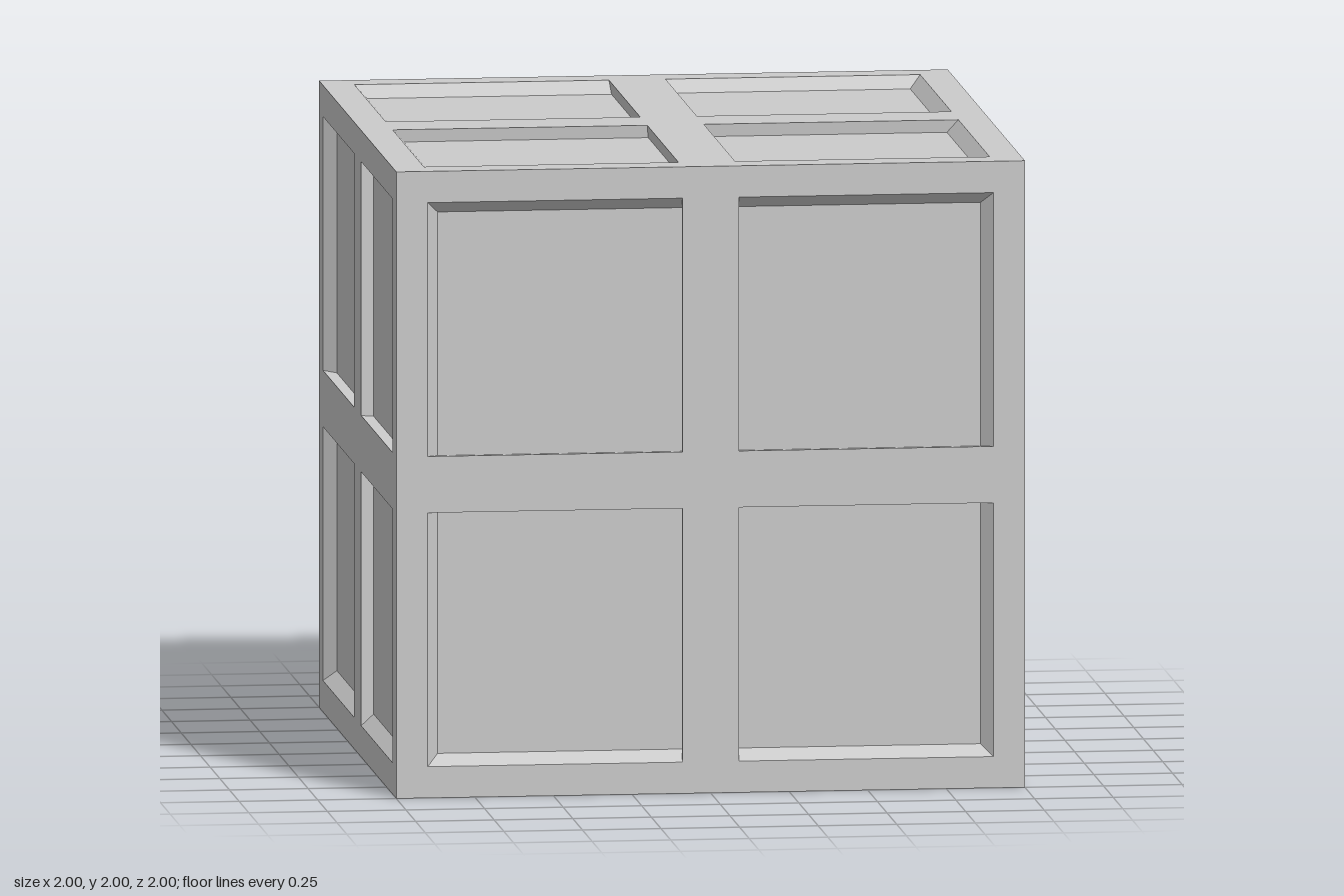
import * as THREE from 'three';

const HALF = 1;        // half the cube's side
const OUTER = 0.9;     // recess edge near the cube's edge
const INNER = 0.09;    // recess edge beside the central cross
const TAPER = 0.96;    // recess floors shrink toward the cube's centre

// Corners of the four square recesses on one face, counter-clockwise
function recessCorners() {
  const list = [];
  for (const [x0, x1] of [[-OUTER, -INNER], [INNER, OUTER]]) {
    for (const [y0, y1] of [[-OUTER, -INNER], [INNER, OUTER]]) {
      list.push([[x0, y0], [x1, y0], [x1, y1], [x0, y1]]);
    }
  }
  return list;
}

// Flat face with four square openings
function frameGeometry() {
  const rect = (c) => c.map(([x, y]) => new THREE.Vector2(x, y));
  const shape = new THREE.Shape(rect([[-HALF, -HALF], [HALF, -HALF], [HALF, HALF], [-HALF, HALF]]));
  for (const corners of recessCorners()) {
    shape.holes.push(new THREE.Path(rect(corners).reverse()));
  }
  return new THREE.ShapeGeometry(shape).translate(0, 0, HALF);
}

// Four slanted walls and a floor
function recessGeometry(corners) {
  const rim = corners.map(([x, y]) => [x, y, HALF]);
  const floor = rim.map((p) => p.map((v) => v * TAPER));
  const positions = [];
  const quad = (a, b, c, d) => positions.push(...a, ...b, ...c, ...a, ...c, ...d);
  quad(...floor);
  for (let i = 0; i < 4; i++) {
    const j = (i + 1) % 4;
    quad(rim[i], rim[j], floor[j], floor[i]);
  }
  const geometry = new THREE.BufferGeometry();
  geometry.setAttribute('position', new THREE.Float32BufferAttribute(positions, 3));
  geometry.computeVertexNormals();
  return geometry;
}

export function createModel() {
  const model = new THREE.Group();
  model.name = 'panelledCube';
  const material = new THREE.MeshStandardMaterial({ color: 0xcccccc, flatShading: true });
  const frame = frameGeometry();
  const recesses = recessCorners().map(recessGeometry);

  // The same panelled face turned to all six sides
  const q = Math.PI / 2;
  const sides = {
    front: [0, 0], left: [0, q], back: [0, 2 * q], right: [0, -q], top: [-q, 0], bottom: [q, 0],
  };
  for (const [name, [rx, ry]] of Object.entries(sides)) {
    const side = new THREE.Group();
    side.name = name + 'Side';
    const frameMesh = new THREE.Mesh(frame, material);
    frameMesh.name = name + 'Frame';
    side.add(frameMesh);
    recesses.forEach((geometry, i) => {
      const recess = new THREE.Mesh(geometry, material);
      recess.name = name + 'Recess' + (i + 1);
      side.add(recess);
    });
    side.rotation.set(rx, ry, 0);
    side.position.y = HALF;
    model.add(side);
  }
  return model;
}
